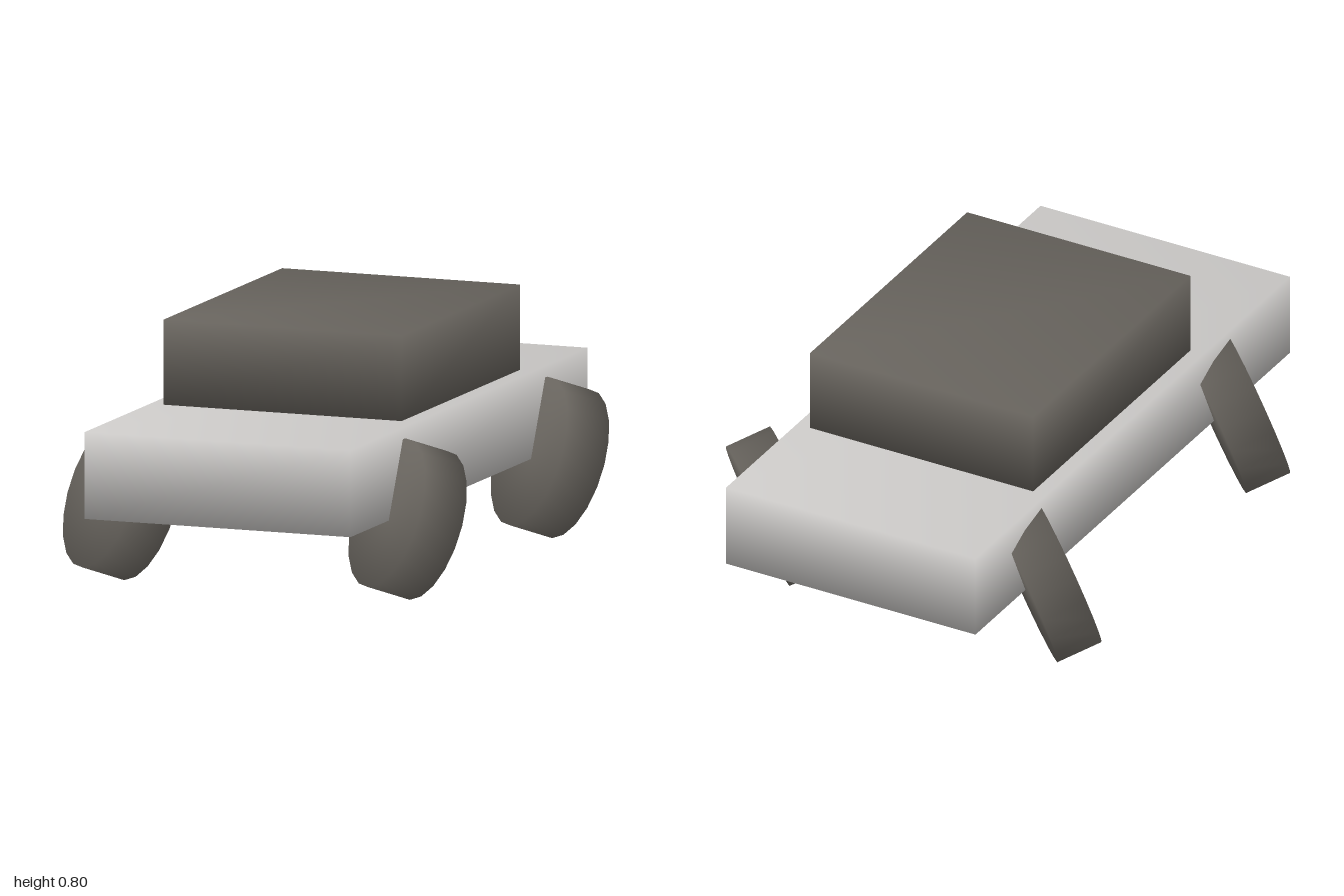
import * as THREE from 'three';
import { mergeVertices } from 'three/addons/utils/BufferGeometryUtils.js';

// Share corners between faces so the shading runs smoothly over every edge
function smooth(geometry) {
  geometry.deleteAttribute('uv');
  geometry.deleteAttribute('normal');
  const merged = mergeVertices(geometry, 1e-4);
  merged.computeVertexNormals();
  return merged;
}

export function createModel() {
  const group = new THREE.Group();
  const lightGrey = new THREE.MeshStandardMaterial({ color: 0xcccac8 });
  lightGrey.name = 'lightGrey';
  const darkGrey = new THREE.MeshStandardMaterial({ color: 0x67635d });
  darkGrey.name = 'darkGrey';

  function add(name, geometry, material, x, y, z) {
    const mesh = new THREE.Mesh(geometry, material);
    mesh.name = name;
    mesh.position.set(x, y, z);
    group.add(mesh);
    return mesh;
  }

  // Long flat body with the cabin standing on it
  add('body', smooth(new THREE.BoxGeometry(0.894, 0.275, 2)), lightGrey, 0, 0.396, 0);
  add('cabin', smooth(new THREE.BoxGeometry(0.8, 0.27, 1)), darkGrey, 0, 0.669, -0.05);

  // Four wheels, all tilted along the same slanting axle
  const wheel = smooth(new THREE.CylinderGeometry(0.241, 0.241, 0.15, 20));
  const axle = new THREE.Vector3(2, -1, -2).normalize();
  const up = new THREE.Vector3(0, 1, 0);
  for (const [end, z] of [['front', 0.6], ['rear', -0.6]]) {
    for (const [side, x] of [['Left', 0.48], ['Right', -0.48]]) {
      add(end + side + 'Wheel', wheel, darkGrey, x, 0.253, z).quaternion.setFromUnitVectors(up, axle);
    }
  }
  return group;
}
